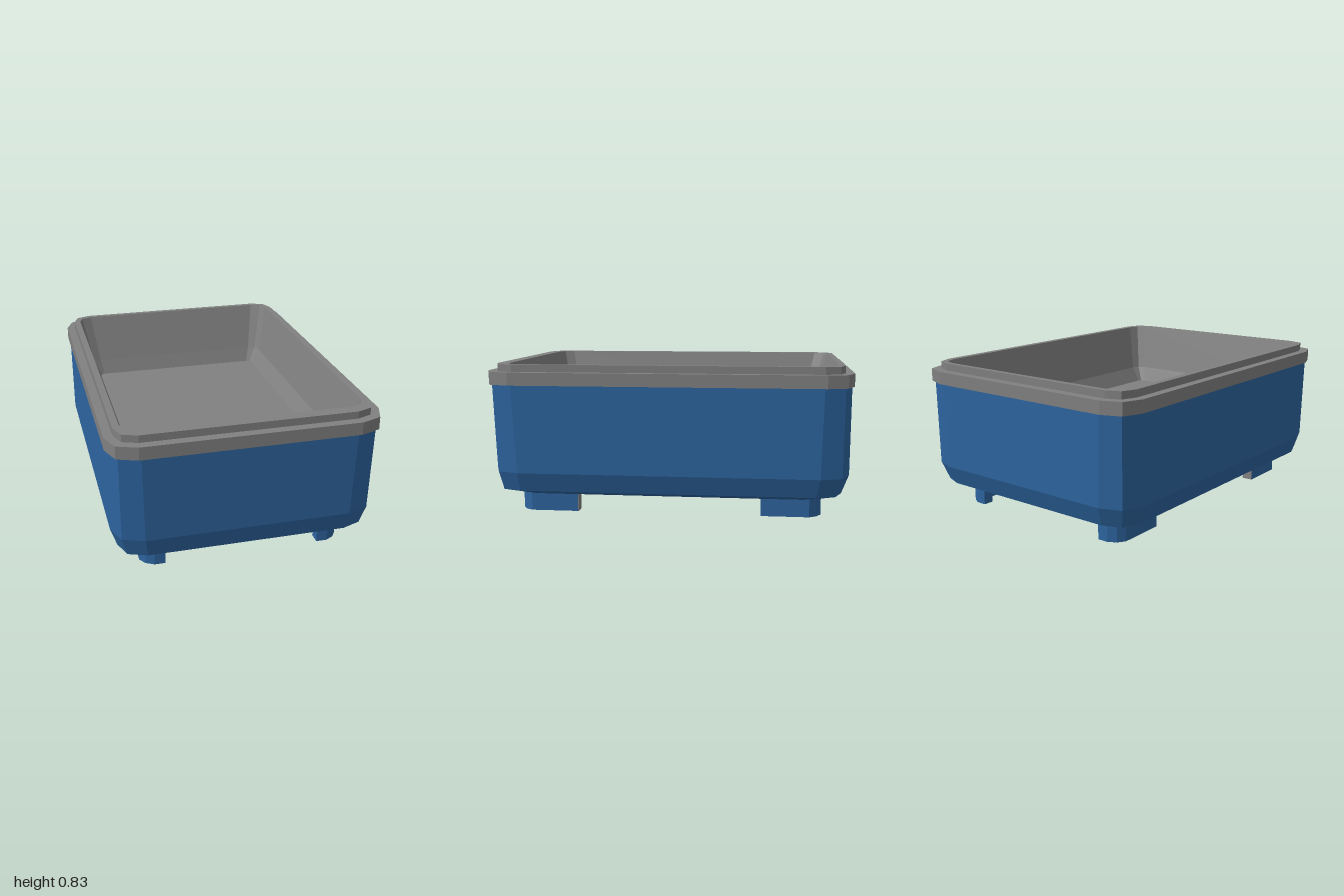
import * as THREE from 'three';

// Rectangle ring with two-facet cut corners: half width, half depth, height, cut, z offset
function ring([hx, hz, y, c, zo = 0]) {
  const k = c * 0.27;
  const q = [[hx, hz - c], [hx - k, hz - k], [hx - c, hz]];
  const r = [...q].reverse();
  const pts = [
    ...q,
    ...r.map(([x, z]) => [-x, z]),
    ...q.map(([x, z]) => [-x, -z]),
    ...r.map(([x, z]) => [x, -z]),
  ];
  return pts.map(([x, z]) => [x, y, z + zo]);
}

// Skin successive rings; accent(row, side) picks the second material
function loft(sections, accent = () => false) {
  const rings = sections.map(ring);
  const n = rings[0].length;
  const pos = [];
  const geo = new THREE.BufferGeometry();
  for (let r = 0; r < rings.length - 1; r++) {
    for (let i = 0; i < n; i++) {
      const j = (i + 1) % n;
      const a = rings[r][i], b = rings[r][j], c = rings[r + 1][j], d = rings[r + 1][i];
      geo.addGroup(pos.length / 3, 6, accent(r, i) ? 1 : 0);
      pos.push(...a, ...d, ...c, ...a, ...c, ...b);
    }
  }
  geo.setAttribute('position', new THREE.Float32BufferAttribute(pos, 3));
  geo.computeVertexNormals();
  return geo;
}

export function createModel() {
  const model = new THREE.Group();
  model.name = 'tub';
  const blue = new THREE.MeshStandardMaterial({ color: 0x2d649f, flatShading: true });
  blue.name = 'blue shell';
  const grey = new THREE.MeshStandardMaterial({ color: 0x808080, flatShading: true });
  grey.name = 'grey liner';

  const add = (name, geo, mat, parent = model) => {
    const mesh = new THREE.Mesh(geo, mat);
    mesh.name = name;
    parent.add(mesh);
    return mesh;
  };

  // Outer shell, from the middle of the underside up to the rim; rear lower bevel is grey
  add('outerShell', loft([
    [0, 0, 0.10, 0],
    [0.575, 0.84, 0.10, 0.10],
    [0.68, 0.945, 0.135, 0.14],
    [0.715, 0.977, 0.24, 0.16, -0.007],
    [0.715, 0.988, 0.73, 0.15],
  ], (row, side) => row === 1 && side === 8), [blue, grey]);

  // Rim, raised lip, inner walls, bevel and floor in one profile
  add('rimAndBasin', loft([
    [0.70, 0.97, 0.72, 0.15],
    [0.728, 1.0, 0.72, 0.15],
    [0.728, 1.0, 0.79, 0.15],
    [0.68, 0.95, 0.79, 0.11],
    [0.68, 0.95, 0.83, 0.11],
    [0.643, 0.902, 0.83, 0.08, -0.017],
    [0.583, 0.828, 0.55, 0.06, -0.004],
    [0.532, 0.795, 0.46, 0.03, -0.005],
    [0, 0, 0.46, 0],
  ]), [grey, grey]);

  // Four bent feet hugging the corners
  const outline = [
    [0.43, 0.84], [0.49, 0.84], [0.535, 0.815], [0.562, 0.775], [0.562, 0.51],
    [0.50, 0.51], [0.50, 0.76], [0.48, 0.78], [0.43, 0.78],
  ];
  for (const sx of [1, -1]) {
    for (const sz of [1, -1]) {
      const foot = new THREE.Group();
      foot.name = (sz > 0 ? 'front' : 'back') + (sx > 0 ? 'Left' : 'Right') + 'Foot';
      model.add(foot);
      const shape = new THREE.Shape(outline.map(([x, z]) => new THREE.Vector2(sx * x, -sz * z)));
      const geo = new THREE.ExtrudeGeometry(shape, { depth: 0.11, bevelEnabled: false });
      geo.rotateX(-Math.PI / 2);
      add('footBracket', geo, blue, foot);
      // Grey rear-facing ends on the front feet
      if (sz > 0) {
        for (const [x, z, w] of [[0.531, 0.508, 0.062], [0.455, 0.778, 0.05]]) {
          add('footEndFace', new THREE.BoxGeometry(w, 0.1, 0.004), grey, foot).position.set(sx * x, 0.05, z);
        }
      }
    }
  }
  return model;
}
